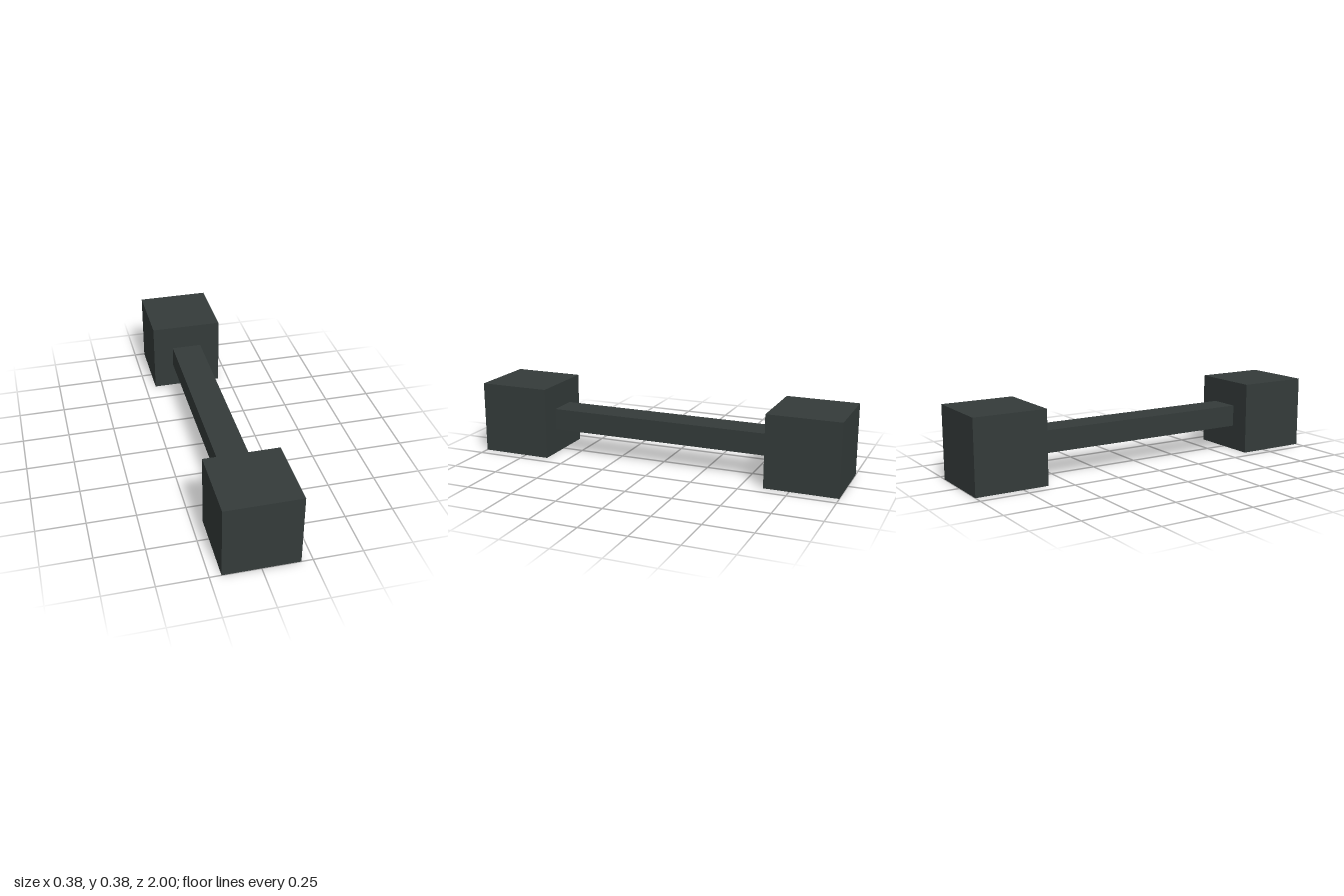
import * as THREE from 'three';

export function createModel() {
  const group = new THREE.Group();
  const darkIron = new THREE.MeshStandardMaterial({ color: 0x343b3a });
  darkIron.name = 'dark iron';

  const size = 0.384; // edge of each cube weight
  const inner = 1 - size; // where the bar meets the weights

  const addBox = (name, w, h, d, z) => {
    const mesh = new THREE.Mesh(new THREE.BoxGeometry(w, h, d), darkIron);
    mesh.name = name;
    mesh.position.set(0, size / 2, z);
    group.add(mesh);
  };

  // Cube weights at both ends
  addBox('frontWeight', size, size, size, 1 - size / 2);
  addBox('backWeight', size, size, size, -1 + size / 2);

  // Flat rectangular handle between them
  addBox('handle', 0.164, 0.116, inner * 2, 0);

  return group;
}
